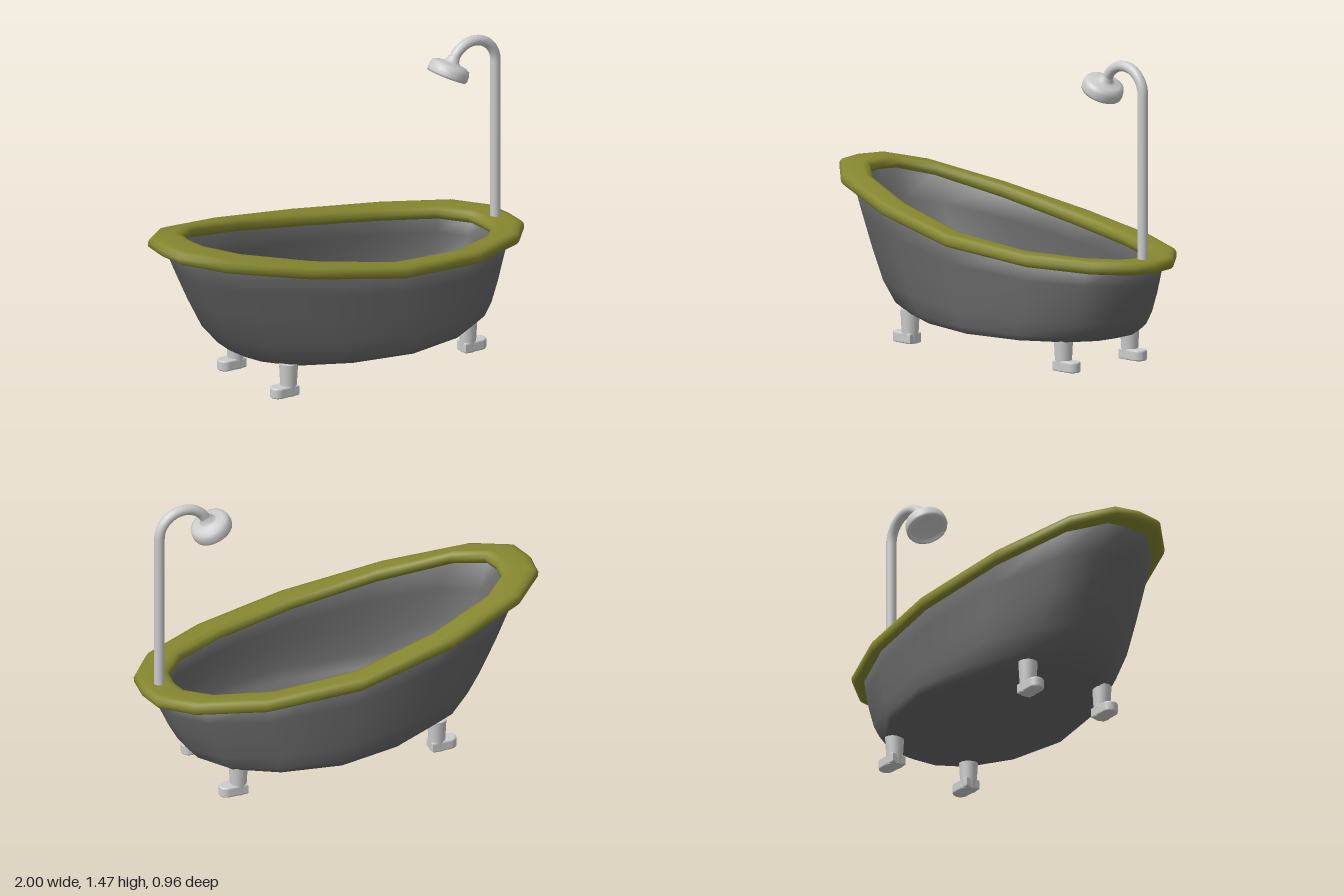
import * as THREE from 'three';

// Half outline of the bath in plan (head end to tap end), and the rim height at each station
const U = [-1, -0.98, -0.82, -0.42, 0.075, 0.54, 0.855, 0.985, 1];
const V = [0, 0.27, 0.583, 0.865, 1, 0.865, 0.583, 0.27, 0];
const RIM_Y = [0.774, 0.77, 0.738, 0.663, 0.582, 0.538, 0.525, 0.517, 0.512];
const SIDES = 16;

// One ring of the outline, stretched between xl and xr with half width w
function ring(xl, xr, w, height) {
  return Array.from({ length: SIDES }, (_, i) => {
    const k = i <= 8 ? i : SIDES - i;
    const x = (xl + xr) / 2 + U[k] * (xr - xl) / 2;
    return [x, height(RIM_Y[k]), V[k] * w * (i <= 8 ? 1 : -1)];
  });
}

// Skin a list of rings; closed joins the last ring to the first
function loft(rings, closed = false) {
  const index = [];
  const n = rings.length;
  for (let r = 0; r < (closed ? n : n - 1); r++) {
    for (let i = 0; i < SIDES; i++) {
      const j = (i + 1) % SIDES;
      const lo = r * SIDES, hi = ((r + 1) % n) * SIDES;
      index.push(lo + i, lo + j, hi + j, lo + i, hi + j, hi + i);
    }
  }
  const geo = new THREE.BufferGeometry();
  geo.setAttribute('position', new THREE.Float32BufferAttribute(rings.flat(2), 3));
  geo.setIndex(index);
  geo.computeVertexNormals();
  return geo;
}

export function createModel() {
  const model = new THREE.Group();
  const grey = new THREE.MeshStandardMaterial({ color: 0xcccccc });
  const enamel = new THREE.MeshStandardMaterial({ color: 0x666666, side: THREE.DoubleSide });
  const olive = new THREE.MeshStandardMaterial({ color: 0x85872f });

  const add = (name, geometry, material, parent = model) => {
    const mesh = new THREE.Mesh(geometry, material);
    mesh.name = name;
    parent.add(mesh);
    return mesh;
  };

  // Tub: outside from the base centre up to the rim, then inside down to the floor
  // [xl, xr, half width, fraction of the way up to the rim, base height]
  const tubRows = [
    [0.1, 0.1, 0, 0, 0.125],
    [-0.4, 0.62, 0.37, 0, 0.133],
    [-0.51, 0.73, 0.42, 0.02, 0.135],
    [-0.605, 0.775, 0.438, 0.09, 0.135],
    [-0.695, 0.82, 0.445, 0.25, 0.135],
    [-0.78, 0.865, 0.445, 0.5, 0.135],
    [-0.855, 0.9, 0.445, 0.75, 0.135],
    [-0.92, 0.92, 0.445, 0.98, 0.135],
    [-0.85, 0.86, 0.385, 0.98, 0.18],
    [-0.79, 0.84, 0.385, 0.72, 0.18],
    [-0.72, 0.8, 0.385, 0.45, 0.18],
    [-0.63, 0.75, 0.375, 0.18, 0.18],
    [-0.55, 0.69, 0.35, 0.05, 0.18],
    [-0.42, 0.58, 0.3, 0, 0.18],
    [0.1, 0.1, 0, 0, 0.175],
  ];
  add('tub', loft(tubRows.map(([xl, xr, w, f, base]) =>
    ring(xl, xr, w, (y) => base + (y - base) * f))), enamel);

  // Rolled rim: [fraction from outer to inner edge, height offset]
  const rimProfile = [
    [0.01, -0.014], [0, 0.008], [0.08, 0.026], [0.25, 0.032], [0.75, 0.032],
    [0.92, 0.024], [1, 0.006], [0.98, -0.015], [0.85, -0.03], [0.25, -0.032], [0.09, -0.027],
  ];
  add('rim', loft(rimProfile.map(([s, dy]) =>
    ring(-1 + 0.18 * s, 1 - 0.17 * s, 0.48 - 0.12 * s, (y) => y + dy)), true), olive);

  // Shower pipe: straight riser and hooked top
  const path = new THREE.CurvePath();
  path.add(new THREE.LineCurve3(new THREE.Vector3(0.91, 0.52, 0), new THREE.Vector3(0.91, 1.325, 0)));
  const hook = [];
  for (let i = 0; i <= 12; i++) {
    const a = (i / 12) * THREE.MathUtils.degToRad(155);
    hook.push(new THREE.Vector3(0.785 + 0.125 * Math.cos(a), 1.325 + 0.125 * Math.sin(a), 0));
  }
  path.add(new THREE.CatmullRomCurve3(hook));
  add('showerPipe', new THREE.TubeGeometry(path, 80, 0.025, 16), grey);

  // Shower head with a recessed face and flared neck
  const headProfile = [
    [0, 0.02], [0.08, 0.02], [0.083, 0], [0.096, 0], [0.1, 0.012], [0.099, 0.035],
    [0.093, 0.055], [0.075, 0.064], [0.045, 0.068], [0.033, 0.078], [0.026, 0.1],
  ].map(([x, y]) => new THREE.Vector2(x, y));
  const head = add('showerHead', new THREE.LatheGeometry(headProfile, 28), grey);
  head.position.set(0.632, 1.303, 0);
  head.rotation.z = -0.453;

  // Feet: tapered leg with a rounded toe pointing to the nearer end
  const sole = new THREE.Shape();
  sole.moveTo(-0.028, -0.03);
  sole.lineTo(0.06, -0.03);
  sole.absarc(0.06, 0, 0.03, -Math.PI / 2, Math.PI / 2, false);
  sole.lineTo(-0.028, 0.03);
  sole.closePath();
  const toeGeo = new THREE.ExtrudeGeometry(sole, {
    depth: 0.036, bevelSize: 0.008, bevelThickness: 0.008, bevelSegments: 3, curveSegments: 8,
  });
  toeGeo.rotateX(-Math.PI / 2).translate(0, 0.008, 0);
  const legGeo = new THREE.CylinderGeometry(0.046, 0.037, 0.16, 16).translate(0, 0.08, 0);
  for (const [end, x] of [[-1, -0.418], [1, 0.602]]) {
    for (const side of [-1, 1]) {
      const foot = new THREE.Group();
      foot.name = (side > 0 ? 'front' : 'back') + (end > 0 ? 'Left' : 'Right') + 'Foot';
      add('leg', legGeo, grey, foot);
      add('toe', toeGeo, grey, foot);
      foot.position.set(x, 0, side * 0.22);
      foot.rotation.y = end > 0 ? 0 : Math.PI;
      model.add(foot);
    }
  }
  return model;
}
